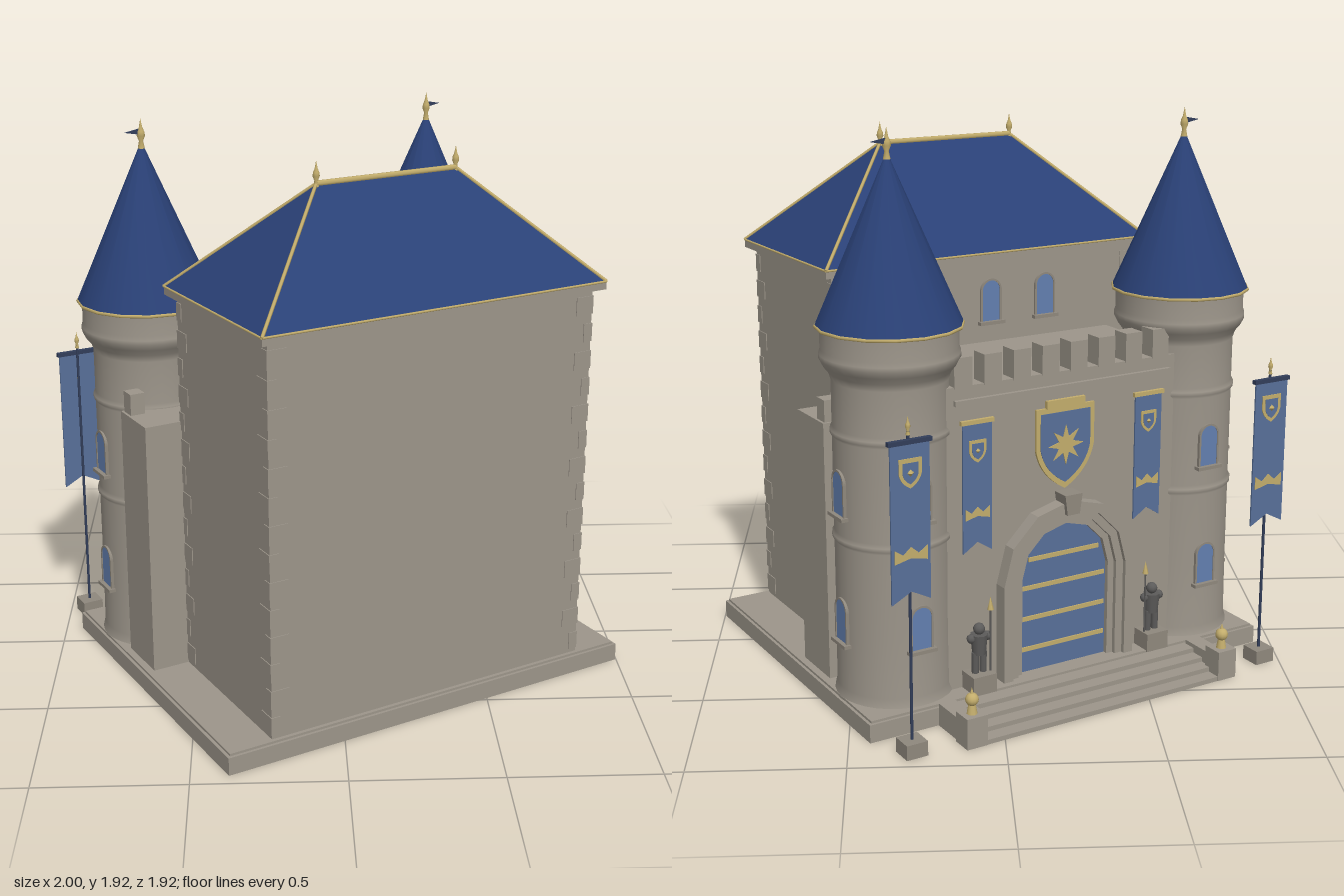
import * as THREE from 'three';

const mat = (name, color, side = THREE.FrontSide) => {
  const m = new THREE.MeshStandardMaterial({ color, side });
  m.name = name;
  return m;
};

export function createModel() {
  const stone = mat('stone', 0x9c958a, THREE.DoubleSide);
  const trim = mat('trimStone', 0x8f887d);
  const roofBlue = mat('roofBlue', 0x2a4177);
  const cloth = mat('clothBlue', 0x587099, THREE.DoubleSide);
  const glass = mat('windowBlue', 0x627fb0);
  const gold = mat('gold', 0xc3ad6c);
  const iron = mat('darkIron', 0x323e5a, THREE.DoubleSide);
  const statueGrey = mat('statueGrey', 0x5c5b5a);

  const model = new THREE.Group();
  model.name = 'castle';
  const castle = new THREE.Group();
  castle.name = 'castleBody';
  castle.rotation.y = Math.PI + THREE.MathUtils.degToRad(28);
  castle.position.set(0.027, 0, 0.058);
  model.add(castle);

  const add = (parent, name, geo, m, x = 0, y = 0, z = 0) => {
    const mesh = new THREE.Mesh(geo, m);
    mesh.name = name;
    mesh.position.set(x, y, z);
    parent.add(mesh);
    return mesh;
  };
  // box given by its x centre, width, bottom, top and z range
  const box = (name, m, x, w, y0, y1, z0, z1, parent = castle) =>
    add(parent, name, new THREE.BoxGeometry(w, y1 - y0, z1 - z0), m, x, (y0 + y1) / 2, (z0 + z1) / 2);
  const group = (name, x, y, z, parent = castle) => {
    const g = new THREE.Group();
    g.name = name;
    g.position.set(x, y, z);
    parent.add(g);
    return g;
  };
  const plate = (shape, depth, curveSegments = 12) =>
    new THREE.ExtrudeGeometry(shape, { depth, bevelEnabled: false, curveSegments });
  const lathe = (pts, n) => new THREE.LatheGeometry(pts.map(p => new THREE.Vector2(...p)), n);
  const poly = pts => new THREE.Shape(pts.map(p => new THREE.Vector2(...p)));
  const bar = (name, a, b, r, m) => {
    const A = new THREE.Vector3(...a), B = new THREE.Vector3(...b);
    const mesh = add(castle, name, new THREE.CylinderGeometry(r, r, A.distanceTo(B), 6), m);
    mesh.position.copy(A).add(B).multiplyScalar(0.5);
    mesh.quaternion.setFromUnitVectors(new THREE.Vector3(0, 1, 0), B.sub(A).normalize());
  };
  // round-headed opening, and the band around it
  const archShape = (r, s) => {
    const a = new THREE.Shape();
    a.moveTo(-r, 0); a.lineTo(r, 0); a.lineTo(r, s); a.absarc(0, s, r, 0, Math.PI, false);
    return a;
  };
  const archBand = (R, r, s) => {
    const a = new THREE.Shape();
    a.moveTo(-R, 0); a.lineTo(-R, s); a.absarc(0, s, R, Math.PI, 0, true);
    a.lineTo(R, 0); a.lineTo(r, 0); a.lineTo(r, s); a.absarc(0, s, r, 0, Math.PI, false); a.lineTo(-r, 0);
    return a;
  };
  const shieldShape = (w, h) => {
    const s = new THREE.Shape();
    s.moveTo(-w / 2, h / 2); s.lineTo(w / 2, h / 2); s.lineTo(w / 2, 0);
    s.quadraticCurveTo(w * 0.42, -h * 0.32, 0, -h / 2);
    s.quadraticCurveTo(-w * 0.42, -h * 0.32, -w / 2, 0);
    return s;
  };
  const archWindow = (parent, x, y, z) => {
    const g = group('window', x, y, z, parent);
    add(g, 'windowPane', plate(archShape(0.036, 0.108), 0.008), glass, 0, 0, -0.003);
    add(g, 'windowFrame', plate(archBand(0.042, 0.035, 0.108), 0.014), trim, 0, 0, -0.006);
    box('windowSill', trim, 0, 0.1, -0.012, 0, -0.01, 0.02, g);
    return g;
  };
  const finial = (x, y, z, s = 1) => add(castle, 'finial', lathe([[0.012, -0.02], [0.007, 0.005], [0.014, 0.022],
    [0.012, 0.036], [0.006, 0.05], [0, 0.08]].map(p => [p[0] * s, p[1] * s]), 10), gold, x, y, z);
  // swallow-tailed banner hanging down from its origin
  const banner = (w, h, x, y, z, rod) => {
    const g = group('banner', x, y, z);
    add(g, 'bannerCloth', plate(poly([[-w / 2, 0], [-w / 2, -h], [0, 0.035 - h], [w / 2, -h], [w / 2, 0]]), 0.006), cloth);
    box('bannerRod', rod, 0, w + 0.014, -0.008, 0.006, -0.006, 0.011, g);
    add(g, 'bannerShield', plate(shieldShape(w * 0.58, w * 0.7), 0.004), gold, 0, -0.1, 0.005);
    add(g, 'bannerShieldField', plate(shieldShape(w * 0.4, w * 0.5), 0.004), cloth, 0, -0.1, 0.006);
    add(g, 'bannerStar', new THREE.OctahedronGeometry(w * 0.1), gold, 0, -0.098, 0.008);
    const stripe = poly([[-w * 0.42, -h * 0.655], [-w * 0.42, -h * 0.745], [0, -h * 0.72],
      [w * 0.42, -h * 0.745], [w * 0.42, -h * 0.655], [w * 0.2, -h * 0.695], [0, -h * 0.65], [-w * 0.2, -h * 0.695]]);
    add(g, 'bannerStripe', plate(stripe, 0.004), gold, 0, 0, 0.004);
  };

  // Plinth, hollowed below the towers, and front steps
  const slab = poly([[-0.7775, -0.602], [0.7775, -0.602], [0.7775, 0.602], [-0.7775, 0.602]]);
  for (const s of [-1, 1]) {
    const hole = new THREE.Path();
    hole.absarc(s * 0.569, -0.376, 0.202, 0, Math.PI * 2, true);
    slab.holes.push(hole);
  }
  add(castle, 'plinth', plate(slab, 0.062), stone).rotation.x = -Math.PI / 2;
  box('plinthTop', stone, 0, 1.535, 0.06, 0.07, -0.592, 0.592);
  for (let i = 0; i < 4; i++) box('step', stone, 0, 0.94, 0, 0.016 * (i + 1), 0.603, 0.8 - i * 0.05);

  // Keep with alternating corner stones
  const kz = -0.269, kw = 0.61, kd = 0.31;
  box('keepWalls', stone, 0, kw * 2, 0.065, 1.4, kz - kd, kz + kd);
  for (const sx of [-1, 1]) for (const sz of [-1, 1]) for (let i = 0; i < 14; i++) {
    const lx = i % 2 ? 0.068 : 0.034, lz = i % 2 ? 0.034 : 0.068;
    add(castle, 'cornerStone', new THREE.BoxGeometry(lx, 0.062, lz), stone,
      sx * (kw + 0.003 - lx / 2), 0.115 + i * 0.0945, kz + sz * (kd + 0.003 - lz / 2));
  }
  for (const x of [-0.222, 0, 0.222]) archWindow(castle, x, 1.18, kz + kd);

  // Hipped roof with gold edging
  const rw = 0.642, rd = 0.34, rr = 0.263, ey = 1.425, ry = 1.785;
  box('eaves', stone, 0, rw * 2, 1.398, ey, kz - rd, kz + rd);
  const A = [-rw, ey, kz - rd], B = [rw, ey, kz - rd], C = [rw, ey, kz + rd], D = [-rw, ey, kz + rd];
  const R1 = [-rr, ry, kz], R2 = [rr, ry, kz];
  const roof = new THREE.BufferGeometry();
  roof.setAttribute('position', new THREE.Float32BufferAttribute(
    [D, C, R2, D, R2, R1, C, B, R2, B, A, R1, B, R1, R2, A, D, R1].flat(), 3));
  roof.computeVertexNormals();
  add(castle, 'keepRoof', roof, roofBlue);
  for (const [a, b] of [[A, R1], [D, R1], [B, R2], [C, R2]]) bar('hipTrim', a, b, 0.006, gold);
  for (const [a, b] of [[A, B], [B, C], [C, D], [D, A]]) bar('eaveTrim', a, b, 0.004, gold);
  bar('ridgeTrim', R1, R2, 0.01, gold);
  for (const x of [-rr, rr]) finial(x, ry + 0.005, kz, 0.85);

  // Gatehouse, terrace and battlements
  box('gatehouse', stone, 0, 0.98, 0.065, 1.105, 0.02, 0.52);
  box('stringCourse', stone, 0, 0.84, 1.045, 1.062, 0.5, 0.535);
  for (let i = 0; i < 8; i++) box('merlon', stone, (i - 3.5) * 0.11, 0.066, 1.1, 1.2, 0.457, 0.523);

  // Doorway
  const door = group('doorway', 0, 0.065, 0.515);
  add(door, 'door', plate(archShape(0.175, 0.345), 0.009), cloth);
  [[0.26, 0.225, 0.055], [0.227, 0.196, 0.04], [0.198, 0.172, 0.025]].forEach(([R, r, d]) =>
    add(door, 'doorArch', plate(archBand(R, r, 0.345), d, 3), stone));
  for (const y of [0.08, 0.19, 0.3]) box('doorBand', gold, 0, 0.33, y, y + 0.015, 0.005, 0.014, door);
  box('doorBand', gold, 0, 0.28, 0.4, 0.415, 0.005, 0.014, door);
  add(door, 'keystone', plate(poly([[-0.024, -0.03], [0.024, -0.03], [0.034, 0.04], [-0.034, 0.04]]), 0.07), trim, 0, 0.59, 0);

  // Shield over the door with a sunburst
  const crest = group('wallShield', 0, 0.845, 0.52);
  add(crest, 'shieldRim', plate(shieldShape(0.228, 0.285), 0.009), gold);
  add(crest, 'shieldField', plate(shieldShape(0.195, 0.245), 0.006), cloth, 0, 0.002, 0.005);
  const rays = Array.from({ length: 16 }, (_, i) => {
    const r = i % 2 ? 0.029 : 0.069, a = i * Math.PI / 8;
    return [r * Math.cos(a), r * Math.sin(a)];
  });
  add(crest, 'sunburst', plate(poly(rays), 0.006), gold, 0, 0.01, 0.008);
  box('shieldScroll', gold, 0, 0.15, 0.14, 0.168, 0, 0.013, crest);

  for (const s of [-1, 1]) {
    // Side walls with a corner merlon
    box('sideWall', stone, s * 0.638, 0.208, 0.065, 0.963, 0.035, 0.234);
    box('sideMerlon', stone, s * 0.707, 0.052, 0.96, 1.037, 0.17, 0.225);

    // Round towers
    const tx = s * 0.569, tz = 0.376;
    const tower = group('tower', tx, 0, tz);
    add(tower, 'towerWall', lathe([[0.2, 0.068], [0.192, 0.1], [0.19, 0.3], [0.19, 0.595], [0.197, 0.605], [0.197, 0.618],
      [0.19, 0.63], [0.19, 0.945], [0.197, 0.955], [0.197, 0.968], [0.19, 0.98], [0.19, 1.13], [0.198, 1.155],
      [0.216, 1.178], [0.227, 1.2], [0.227, 1.215], [0.222, 1.23], [0.222, 1.297]], 32), stone);
    add(tower, 'towerRoof', new THREE.ConeGeometry(0.238, 0.545, 16), roofBlue, 0, 1.5745, 0);
    const rim = add(tower, 'towerRoofTrim', new THREE.TorusGeometry(0.235, 0.006, 6, 16), gold, 0, 1.302, 0);
    rim.rotation.x = Math.PI / 2;
    finial(tx, 1.842, tz);
    add(castle, 'pennant', plate(poly([[0, 0.011], [0, -0.011], [s * 0.058, 0]]), 0.005), iron, tx, 1.878, tz);
    for (const y of [0.265, 0.7]) {
      archWindow(tower, 0, y, 0.188);
      archWindow(tower, s * 0.188, y, 0).rotation.y = s * Math.PI / 2;
    }

    // Stair posts with gold balls
    box('stairCheek', stone, s * 0.498, 0.06, 0, 0.078, 0.603, 0.76);
    box('stairPost', stone, s * 0.498, 0.075, 0, 0.105, 0.728, 0.802);
    add(castle, 'postNeck', new THREE.CylinderGeometry(0.012, 0.018, 0.032, 10), gold, s * 0.498, 0.12, 0.766);
    add(castle, 'postBall', new THREE.SphereGeometry(0.022, 12, 8), gold, s * 0.498, 0.153, 0.766);
    add(castle, 'postBallTip', new THREE.ConeGeometry(0.007, 0.025, 8), gold, s * 0.498, 0.182, 0.766);

    // Guard statues on pedestals
    const guard = group('guardStatue', s * 0.349, 0.065, 0.556);
    box('pedestal', trim, 0, 0.088, 0, 0.065, -0.036, 0.042, guard);
    for (const l of [-1, 1]) add(guard, 'statueLeg', new THREE.CylinderGeometry(0.013, 0.012, 0.075, 8), statueGrey, l * 0.015, 0.1, 0);
    add(guard, 'statueTorso', new THREE.CylinderGeometry(0.03, 0.023, 0.07, 10), statueGrey, 0, 0.165, 0);
    for (const l of [-1, 1]) add(guard, 'statueShoulder', new THREE.SphereGeometry(0.016, 8, 6), statueGrey, l * 0.03, 0.188, 0);
    add(guard, 'statueHead', new THREE.SphereGeometry(0.02, 10, 8), statueGrey, 0, 0.218, 0);
    add(guard, 'spearShaft', new THREE.CylinderGeometry(0.003, 0.003, 0.22, 6), statueGrey, -s * 0.037, 0.175, 0.012);
    add(guard, 'spearTip', new THREE.ConeGeometry(0.011, 0.045, 6), gold, -s * 0.037, 0.305, 0.012);

    // Flagpoles and hanging banners
    const px = s * 0.695, pz = 0.73;
    box('poleBase', trim, px, 0.075, 0, 0.05, pz - 0.037, pz + 0.037);
    add(castle, 'flagpole', new THREE.CylinderGeometry(0.005, 0.005, 1.02, 8), iron, px, 0.55, pz);
    finial(px, 1.06, pz, 0.6);
    banner(0.135, 0.515, px, 1.03, pz + 0.005, iron);
    banner(0.108, 0.445, s * 0.337, 0.985, 0.522, gold);
  }
  return model;
}
